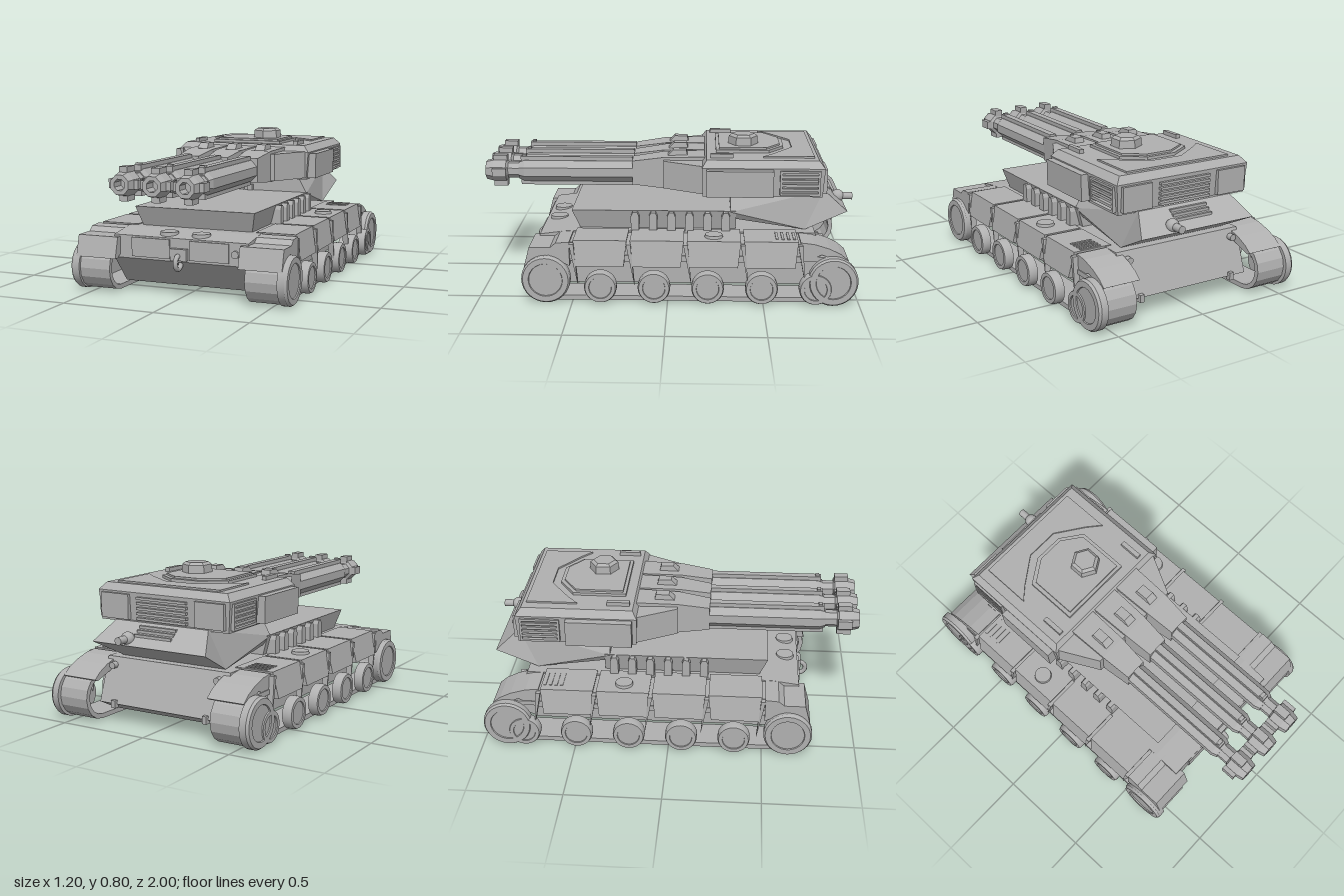
import * as THREE from 'three';
import { toCreasedNormals } from 'three/addons/utils/BufferGeometryUtils.js';

const grey = new THREE.MeshStandardMaterial({ color: 0xb0b0b0 });
grey.name = 'armour grey';

export function createModel() {
  const root = new THREE.Group();
  root.name = 'tank';

  const add = (name, geo) => {
    const m = new THREE.Mesh(geo, grey);
    m.name = name;
    root.add(m);
    return m;
  };
  const flat = (g) => {
    const n = g.index ? g.toNonIndexed() : g;
    n.computeVertexNormals();
    return n;
  };
  const box = (name, w, h, d, x, y, z) =>
    add(name, new THREE.BoxGeometry(w, h, d).translate(x, y, z));

  // Box tapering between two rectangles: axis y uses [x0,x1,z0,z1], axis z uses [x0,x1,y0,y1]
  const taper = (name, axis, a, ra, b, rb) => {
    const g = new THREE.BoxGeometry(1, 1, 1), p = g.attributes.position;
    for (let i = 0; i < p.count; i++) {
      const X = p.getX(i) > 0, Y = p.getY(i) > 0, Z = p.getZ(i) > 0;
      const end = axis === 'y' ? Y : Z, r = end ? rb : ra, t = end ? b : a;
      const x = r[X ? 1 : 0];
      if (axis === 'y') p.setXYZ(i, x, t, r[Z ? 3 : 2]);
      else p.setXYZ(i, x, r[Y ? 3 : 2], t);
    }
    return add(name, flat(g));
  };

  // Side profile (z, y) extruded across x0..x1
  const shapeOf = (pts) => new THREE.Shape(pts.map(([a, b]) => new THREE.Vector2(a, b)));
  const across = (shape, x0, x1) =>
    new THREE.ExtrudeGeometry(shape, { depth: x1 - x0, bevelEnabled: false })
      .translate(0, 0, -x1).rotateY(-Math.PI / 2);
  const profile = (name, pts, x0, x1) => add(name, across(shapeOf(pts), x0, x1));
  // Plan outline (x, z) extruded from y0 to y1
  const plan = (name, pts, y0, y1) =>
    add(name, new THREE.ExtrudeGeometry(shapeOf(pts.map(([x, z]) => [x, -z])),
      { depth: y1 - y0, bevelEnabled: false }).rotateX(-Math.PI / 2).translate(0, y0, 0));
  const disc = (name, r, h, x, y, z) =>
    add(name, toCreasedNormals(new THREE.CylinderGeometry(r * 0.94, r, h, 24), 0.6).translate(x, y, z));
  const mirror = (fn) => [1, -1].forEach(fn);
  const span = (s, a, b) => (s > 0 ? [a, b] : [-b, -a]);

  // Hull
  profile('hull', [[0.69, 0.31], [0.69, 0.19], [0.56, 0.04], [-0.74, 0.04], [-0.86, 0.1], [-0.78, 0.33], [0.54, 0.33]], -0.375, 0.375);
  taper('upperDeck', 'y', 0.32, [-0.31, 0.31, -0.36, 0.475], 0.435, [-0.34, 0.34, -0.36, 0.52]);
  box('towPlate', 0.09, 0.06, 0.03, 0, 0.23, 0.7);
  add('towHook', new THREE.TorusGeometry(0.035, 0.013, 8, 20).rotateY(Math.PI / 2).translate(0, 0.19, 0.71));
  mirror((s) => {
    box('frontPanel', 0.215, 0.1, 0.012, s * 0.163, 0.252, 0.692);
    disc('frontHatch', 0.05, 0.025, s * 0.09, 0.32, 0.62);
    add('rearBolt', new THREE.CylinderGeometry(0.018, 0.018, 0.03, 16).rotateX(Math.PI / 2).translate(s * 0.32, 0.29, -0.81));
    box('rearHook', 0.025, 0.04, 0.03, s * 0.28, 0.1, -0.86);
  });
  add('frontLamp', new THREE.CylinderGeometry(0.02, 0.02, 0.015, 16).rotateX(Math.PI / 2).translate(0.305, 0.25, 0.695));

  // Turret base, flared at mid height with an overhanging tail
  const neck = across(shapeOf([[-0.33, 0.54], [-0.33, 0.43], [-0.33, 0.39], [-0.73, 0.33], [-0.95, 0.44], [-0.83, 0.54]]), -1, 1);
  const np = neck.attributes.position;
  for (let i = 0; i < np.count; i++) {
    const y = np.getY(i);
    np.setX(i, np.getX(i) * (y > 0.5 ? 0.28 : y > 0.42 ? 0.34 : 0.315));
  }
  add('turretBase', flat(neck));
  for (let i = 0; i < 3; i++) box('tailSlat', 0.22, 0.014, 0.014, 0, 0.522 - i * 0.018, -0.855 - i * 0.022);
  box('visionPlate', 0.14, 0.065, 0.01, -0.12, 0.468, -0.328);
  box('periscope', 0.028, 0.035, 0.03, -0.005, 0.452, -0.32);
  add('exhaustBall', new THREE.SphereGeometry(0.035, 16, 12).translate(0.14, 0.47, -0.92));
  add('exhaustPipe', new THREE.CylinderGeometry(0.02, 0.02, 0.09, 16).rotateX(Math.PI / 2).translate(0.14, 0.47, -0.955));

  // Running gear
  const trackLoop = (r) => {
    const pts = [], n = 8;
    for (let e = 0; e < 2; e++) for (let i = 0; i <= n; i++) {
      const t = -Math.PI / 2 + e * Math.PI + (i / n) * Math.PI;
      pts.push([(e ? -0.845 : 0.625) + Math.cos(t) * r, 0.13 + Math.sin(t) * r]);
    }
    return pts;
  };
  const wheel = (name, s, r, y, z) => {
    const prof = [[0, -0.025], [r, -0.025], [r, 0.012], [r * 0.93, 0.025], [r * 0.7, 0.025], [r * 0.68, 0.019],
      [0, 0.019]].map(([a, b]) => new THREE.Vector2(a, b));
    add(name, toCreasedNormals(new THREE.LatheGeometry(prof, 32), 0.5)
      .rotateZ(-s * Math.PI / 2).translate(s * 0.573, y, z));
  };
  mirror((s) => {
    const belt = shapeOf(trackLoop(0.125));
    belt.holes.push(new THREE.Path(trackLoop(0.1).map(([a, b]) => new THREE.Vector2(a, b))));
    add('track', across(belt, ...span(s, 0.375, 0.55)));
    wheel('frontWheel', s, 0.128, 0.13, 0.635);
    wheel('rearWheel', s, 0.13, 0.13, -0.86);
    for (let i = 0; i < 5; i++) wheel('roadWheel', s, 0.085, 0.09, 0.35 - i * 0.28);

    // Fenders and armoured skirts
    profile('fenderCore', [[0.52, 0.22], [0.52, 0.322], [-0.7, 0.322], [-0.7, 0.22]], ...span(s, 0.34, 0.545));
    for (let i = 0; i < 4; i++) {
      const z = 0.353 - i * 0.297;
      taper('skirtPanel', 'y', 0.2, [...span(s, 0.34, 0.578), z - 0.125, z + 0.125],
        0.335, [...span(s, 0.34, 0.552), z - 0.14, z + 0.14]);
    }
    for (let i = 0; i < 5; i++) {
      const z = 0.5 - i * 0.297;
      profile('skirtFin', [[z + 0.012, 0.32], [z - 0.012, 0.32], [z - 0.03, 0.1]], ...span(s, 0.54, 0.572));
    }
    profile('frontFender', [[0.51, 0.2], [0.51, 0.33], [0.58, 0.325], [0.61, 0.3], [0.72, 0.3], [0.75, 0.19], [0.72, 0.19], [0.62, 0.26]],
      ...span(s, 0.34, 0.57));
    profile('rearFender', [[-0.69, 0.22], [-0.69, 0.33], [-0.76, 0.322], [-0.84, 0.298], [-0.9, 0.268], [-0.94, 0.235], [-0.92, 0.225], [-0.8, 0.265]],
      ...span(s, 0.34, 0.545));
    disc('fenderHatch', 0.048, 0.015, s * 0.47, 0.342, -0.24);
    for (let i = 0; i < 4; i++) box('fenderSlat', 0.12, 0.01, 0.014, s * 0.45, 0.334, -0.57 - i * 0.03);

    // Ribs along the deck
    for (let i = 0; i < 6; i++) {
      const z = 0.18 - i * 0.097;
      profile('deckRib', [[z - 0.022, 0.33], [z + 0.022, 0.33], [z + 0.022, 0.41], [z + 0.012, 0.432], [z - 0.012, 0.432], [z - 0.022, 0.41]],
        ...span(s, 0.3, 0.37));
    }
  });

  // Turret body and roof
  taper('turretBody', 'y', 0.53, [-0.385, 0.385, -0.81, -0.18], 0.685, [-0.397, 0.397, -0.82, -0.175]);
  taper('turretRoof', 'y', 0.685, [-0.397, 0.397, -0.82, -0.175], 0.722, [-0.365, 0.365, -0.79, -0.2]);
  plan('turretCheeks', [[-0.385, -0.19], [0.385, -0.19], [0.27, 0.03], [-0.27, 0.03]], 0.54, 0.69);
  plan('roofBand', [[-0.31, -0.5], [-0.31, -0.77], [0.31, -0.77], [0.31, -0.5],
    [0.24, -0.56], [0.09, -0.665], [-0.09, -0.665], [-0.24, -0.56]], 0.71, 0.731);
  const hatch = [[-0.21, -0.25], [0.2, -0.25], [0.2, -0.535], [0.085, -0.62], [-0.08, -0.62], [-0.21, -0.535]];
  plan('roofHatch', hatch, 0.71, 0.737);
  plan('roofHatchTop', hatch.map(([x, z]) => [x * 0.9, -0.42 + (z + 0.42) * 0.9]), 0.73, 0.747);
  add('cupola', flat(new THREE.CylinderGeometry(0.078, 0.082, 0.045, 6)).translate(0.07, 0.766, -0.4));
  add('cupolaLid', flat(new THREE.CylinderGeometry(0.06, 0.078, 0.013, 6)).translate(0.07, 0.795, -0.4));
  mirror((s) => {
    box('roofPost', 0.025, 0.03, 0.12, s * 0.305, 0.728, -0.28);
    taper('sideBox', 'y', 0.538, [...span(s, 0.37, 0.433), -0.55, -0.2], 0.678, [...span(s, 0.37, 0.435), -0.55, -0.2]);
    // Side louvres
    box('ventFrameTop', 0.02, 0.012, 0.21, s * 0.398, 0.668, -0.69);
    box('ventFrameBottom', 0.02, 0.012, 0.21, s * 0.398, 0.548, -0.69);
    for (const z of [-0.59, -0.79]) box('ventFrameSide', 0.02, 0.12, 0.012, s * 0.398, 0.608, z);
    for (let i = 0; i < 4; i++) box('ventSlat', 0.016, 0.014, 0.19, s * 0.397, 0.572 + i * 0.024, -0.69);
    box('rearBox', 0.17, 0.13, 0.04, s * 0.285, 0.61, -0.815);
  });
  for (let i = 0; i < 5; i++) box('rearGrilleSlat', 0.3, 0.013, 0.03, 0, 0.555 + i * 0.026, -0.82);

  // Three guns with mantlets
  const tube = (name, pts, x) => {
    const g = new THREE.LatheGeometry(pts.map(([r, z]) => new THREE.Vector2(r, z)), 8, Math.PI / 8);
    add(name, flat(g).rotateX(Math.PI / 2).translate(x, 0.613, 0));
  };
  for (const x of [-0.173, 0, 0.173]) {
    taper('mantlet', 'z', -0.19, [x - 0.08, x + 0.08, 0.532, 0.71], 0.03, [x - 0.074, x + 0.074, 0.534, 0.705]);
    taper('mantletNose', 'z', 0.03, [x - 0.074, x + 0.074, 0.534, 0.705], 0.2, [x - 0.06, x + 0.06, 0.55, 0.68]);
    taper('mantletSight', 'y', 0.695, [x - 0.03, x + 0.03, -0.1, 0.02], 0.735, [x - 0.026, x + 0.026, -0.09, -0.02]);
    tube('barrelSleeve', [[0, 0.18], [0.062, 0.18], [0.062, 0.79], [0.05, 0.82], [0, 0.82]], x);
    taper('barrelFin', 'z', 0.2, [x - 0.02, x + 0.02, 0.535, 0.692], 0.81, [x - 0.02, x + 0.02, 0.535, 0.692]);
    box('barrelSight', 0.03, 0.012, 0.02, x, 0.695, 0.79);
    tube('barrel', [[0.045, 0.8], [0.045, 0.88], [0.062, 0.89], [0.062, 0.96], [0.052, 1], [0.03, 1], [0.03, 0.93], [0, 0.93]], x);
    mirror((s) => {
      box('muzzleLugVertical', 0.045, 0.05, 0.075, x, 0.613 + s * 0.06, 0.922);
      box('muzzleLugSide', 0.04, 0.045, 0.075, x + s * 0.06, 0.613, 0.922);
    });
  }
  return root;
}
